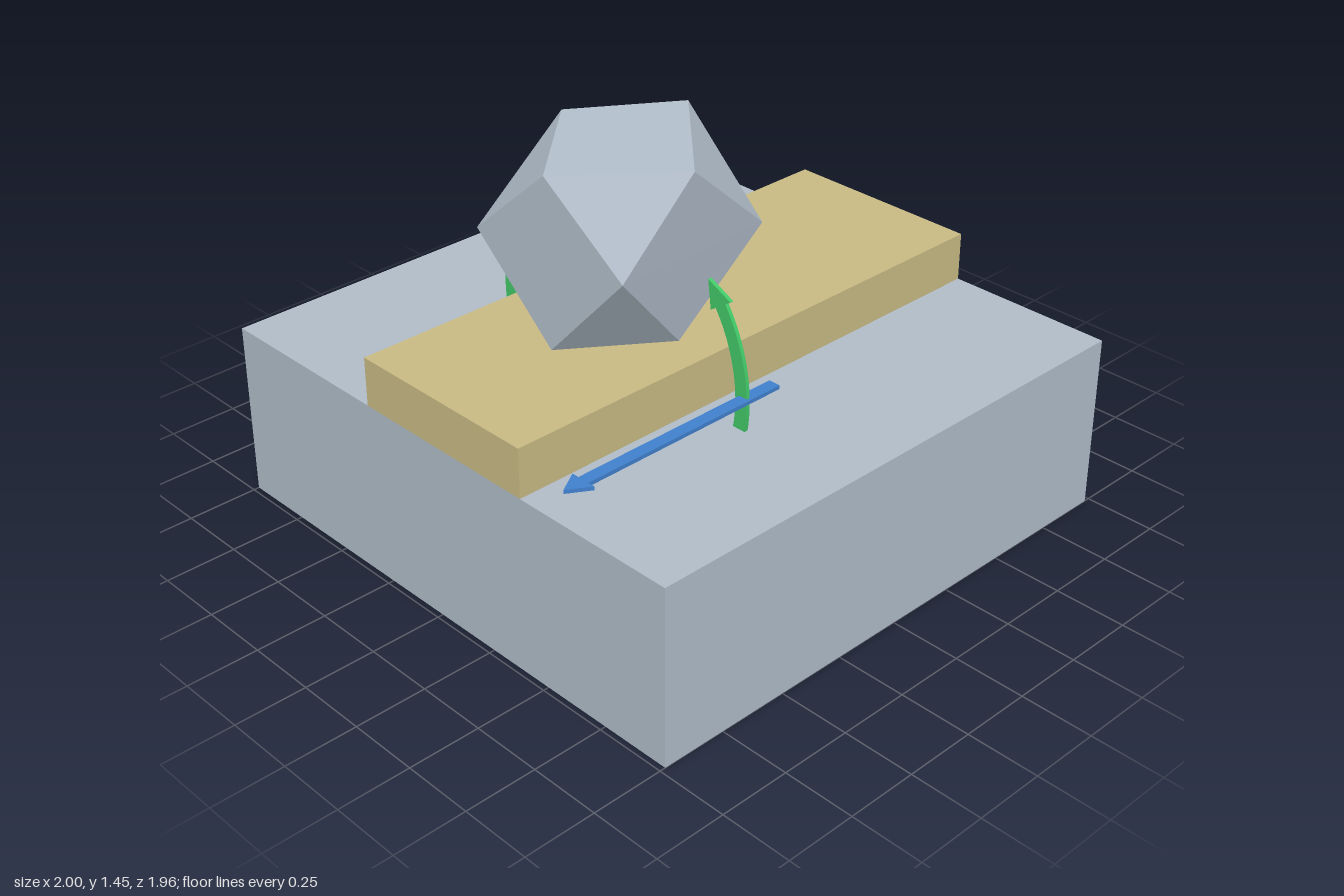
import * as THREE from 'three';
import { ConvexGeometry } from 'three/addons/geometries/ConvexGeometry.js';

const mat = (name, color) => {
  const m = new THREE.MeshStandardMaterial({ color });
  m.name = name;
  return m;
};

export function createModel() {
  const steel = mat('blueGrey', 0xb0bcc8);
  const sand = mat('sand', 0xc8ba84);
  const green = mat('green', 0x42c868);
  const blue = mat('blue', 0x4080cc);
  const model = new THREE.Group();

  const add = (name, geometry, material, x = 0, y = 0, z = 0) => {
    const mesh = new THREE.Mesh(geometry, material);
    mesh.name = name;
    mesh.position.set(x, y, z);
    model.add(mesh);
    return mesh;
  };

  // Flat plate cut from a shape, centred on its own thickness
  const THICK = 0.013;
  const plate = (shape) => new THREE.ExtrudeGeometry(shape, {
    depth: THICK, bevelEnabled: false, curveSegments: 24,
  }).translate(0, 0, -THICK / 2);

  // Base block and raised strip
  add('base', new THREE.BoxGeometry(2, 0.62, 1.96), steel, 0, 0.31, 0);
  add('strip', new THREE.BoxGeometry(0.72, 0.17, 1.96), sand, 0.04, 0.705, 0);

  // Tilted cuboctahedron resting on one corner
  const corners = [
    [0.04, 1.38, 0.553], [0.04, 1.445, -0.04], [0.04, 0.79, 0.54], [0.04, 0.855, -0.053],
    [-0.22, 1.42, 0.25], [0.365, 1.405, 0.25], [-0.285, 0.83, 0.25], [0.3, 0.815, 0.25],
    [-0.25, 1.118, 0.577], [0.34, 1.118, 0.517], [-0.26, 1.118, -0.017], [0.33, 1.118, -0.077],
  ].map((p) => new THREE.Vector3(...p));
  add('facetedBlock', new ConvexGeometry(corners), steel);

  // Curved arrow around the block: two arc pieces and a head
  const INNER = 0.51, OUTER = 0.558, MID = 0.534;
  const rad = THREE.MathUtils.degToRad;
  const arc = (from, to) => {
    const s = new THREE.Shape();
    s.absarc(0, 0, OUTER, rad(from), rad(to), false);
    s.absarc(0, 0, INNER, rad(to), rad(from), true);
    return s;
  };
  add('turnArrowTail', plate(arc(146, 191)), green, 0.04, 0.71, 0.25);
  add('turnArrowShaft', plate(arc(-11, 34.5)), green, 0.04, 0.71, 0.25);

  const at = (r, deg) => new THREE.Vector2(r * Math.cos(rad(deg)), r * Math.sin(rad(deg)));
  const turnHead = new THREE.Shape([at(MID - 0.049, 34), at(MID + 0.049, 34), at(0.538, 43.5)]);
  add('turnArrowHead', plate(turnHead), green, 0.04, 0.71, 0.25);

  // Straight arrow floating over the base, pointing to the front
  const pts = [[-0.021, 0.125], [0.021, 0.125], [0.021, 0.9], [0.046, 0.9],
    [0, 0.975], [-0.046, 0.9], [-0.021, 0.9]];
  const straight = new THREE.Shape(pts.map(([x, z]) => new THREE.Vector2(x, z)));
  add('slideArrow', plate(straight).rotateX(Math.PI / 2), blue, 0.586, 0.73, 0);

  return model;
}
